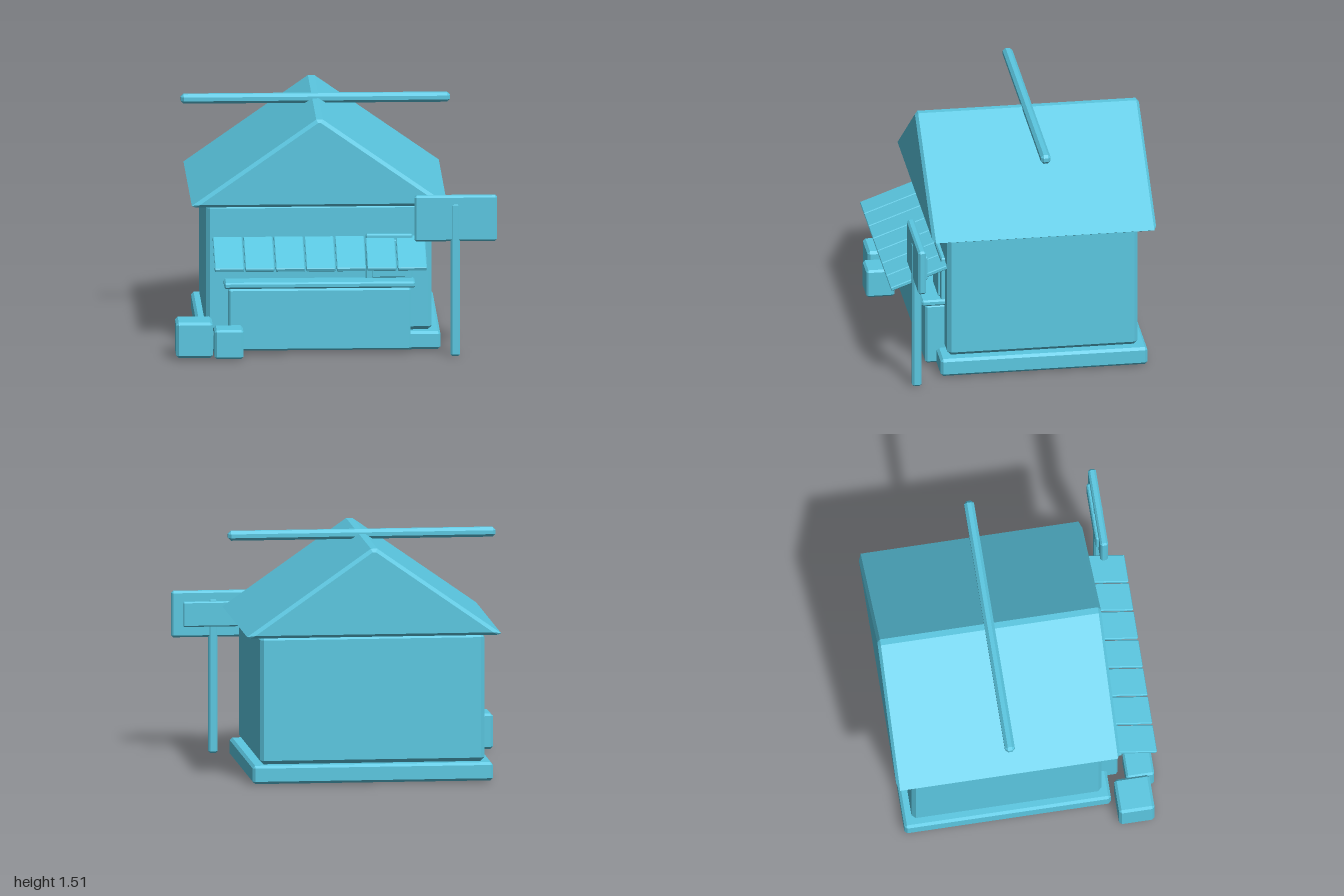
import * as THREE from 'three';
import { ConvexGeometry } from 'three/addons/geometries/ConvexGeometry.js';

const material = new THREE.MeshStandardMaterial({ color: 0x5bc8e2, flatShading: true });

// Box with chamfered edges, centred on its origin
function chamferBox(w, h, d, c) {
  const points = [];
  for (const x of [-w / 2, w / 2])
    for (const y of [-h / 2, h / 2])
      for (const z of [-d / 2, d / 2])
        for (let axis = 0; axis < 3; axis++) {
          const inset = [0, 1, 2].map((i) => (i === axis ? 0 : c));
          points.push(new THREE.Vector3(
            x - Math.sign(x) * inset[0],
            y - Math.sign(y) * inset[1],
            z - Math.sign(z) * inset[2]));
        }
  return new ConvexGeometry(points);
}

// Gable roof with a narrow flat ridge and chamfered gable ends
function roofGeometry(halfWidth, bottom, top, halfDepth, c) {
  const points = [];
  for (const side of [-1, 1])
    for (const end of [-1, 1]) {
      const zFull = end * (halfDepth - c);
      points.push(
        new THREE.Vector3(side * 0.02, top, zFull),
        new THREE.Vector3(side * halfWidth, bottom + 0.01, zFull),
        new THREE.Vector3(side * (halfWidth - 0.02), bottom, zFull),
        new THREE.Vector3(side * 0.01, top - 0.02, end * halfDepth),
        new THREE.Vector3(side * (halfWidth - 0.05), bottom + c, end * halfDepth));
    }
  return new ConvexGeometry(points);
}

export function createModel() {
  const group = new THREE.Group();

  const add = (name, geometry) => {
    const mesh = new THREE.Mesh(geometry, material);
    mesh.name = name;
    group.add(mesh);
    return mesh;
  };
  // Chamfered box given by its extents on each axis
  const block = (name, [x0, x1], [y0, y1], [z0, z1], c) => {
    const mesh = add(name, chamferBox(x1 - x0, y1 - y0, z1 - z0, c));
    mesh.position.set((x0 + x1) / 2, (y0 + y1) / 2, (z0 + z1) / 2);
    return mesh;
  };

  // House
  block('foundation', [-0.85, 0.655], [0.005, 0.12], [-0.775, 0.525], 0.016);
  block('walls', [-0.803, 0.603], [0.12, 0.925], [-0.722, 0.475], 0.024);
  const roof = add('roof', roofGeometry(0.795, 0.927, 1.48, 0.704, 0.018));
  roof.position.set(-0.1, 0, -0.125);
  block('ridgeBeam', [-0.938, 0.738], [1.448, 1.508], [-0.155, -0.093], 0.018);

  // Window
  block('windowFrame', [0.19, 0.482], [0.43, 0.735], [0.45, 0.5], 0.008);
  block('windowPane', [0.228, 0.438], [0.463, 0.7], [0.46, 0.513], 0.005);

  // Counter
  block('counter', [-0.667, 0.467], [0.02, 0.412], [0.44, 0.595], 0.012);
  block('counterTop', [-0.694, 0.494], [0.418, 0.457], [0.44, 0.622], 0.01);

  // Sloping awning slats
  const awning = new THREE.Group();
  awning.name = 'awning';
  const slat = chamferBox(0.181, 0.026, 0.385, 0.005);
  for (let i = 0; i < 7; i++) {
    const mesh = new THREE.Mesh(slat, material);
    mesh.name = 'awningSlat';
    mesh.position.x = -0.671 + i * 0.19;
    awning.add(mesh);
  }
  awning.position.set(0, 0.644, 0.645);
  awning.rotation.x = 0.35;
  group.add(awning);

  // Sign on a post
  block('signPost', [0.711, 0.769], [0, 0.972], [0.663, 0.721], 0.012);
  block('signBoard', [0.486, 1], [0.73, 1.02], [0.668, 0.717], 0.012);
  block('signBackPanel', [0.556, 0.93], [0.797, 0.955], [0.648, 0.69], 0.008);

  // Crates
  block('largeCrate', [-1, -0.772], [0.012, 0.237], [0.553, 0.777], 0.016);
  block('smallCrate', [-0.762, -0.582], [0.012, 0.195], [0.635, 0.812], 0.013);

  return group;
}
